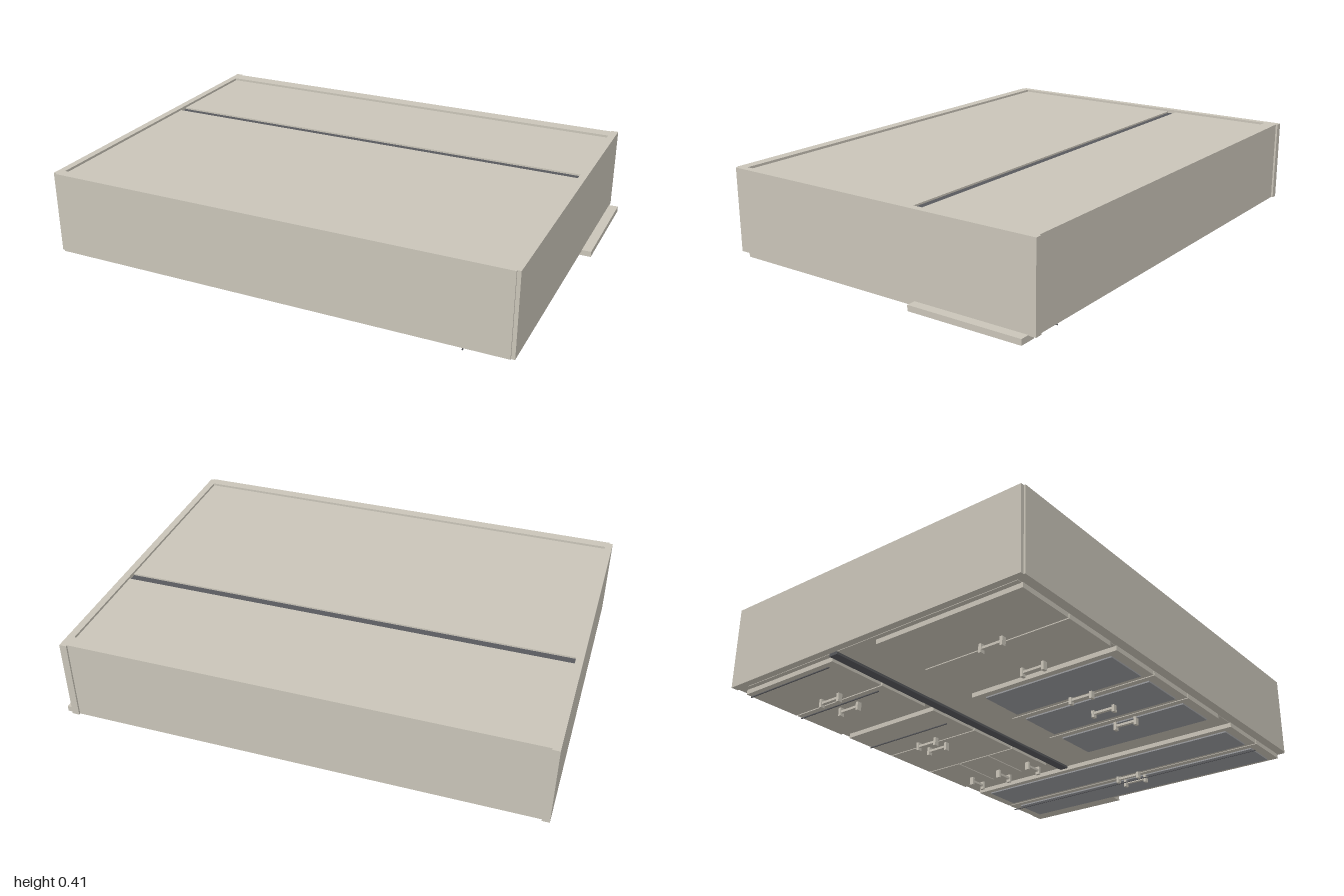
import * as THREE from 'three';

export function createModel() {
  const model = new THREE.Group();
  const mat = (name, color) => Object.assign(new THREE.MeshStandardMaterial({ color }), { name });
  const beige = mat('beigeBoard', 0xc9c4b8);
  const dark = mat('darkGap', 0x58595d);
  const grey = mat('greyPanel', 0x9b9c9f);

  // Box given by its lower and upper limits on each axis
  const box = (name, m, x0, x1, y0, y1, z0, z1, parent = model) => {
    const mesh = new THREE.Mesh(new THREE.BoxGeometry(x1 - x0, y1 - y0, z1 - z0), m);
    mesh.position.set((x0 + x1) / 2, (y0 + y1) / 2, (z0 + z1) / 2);
    mesh.name = name;
    parent.add(mesh);
    return mesh;
  };

  // Carcass: side boards stand slightly proud of the end boards
  box('sideBoardRight', beige, -1, -0.97, 0.057, 0.405, -0.725, 0.715);
  box('sideBoardLeft', beige, 0.93, 0.96, 0.057, 0.405, -0.725, 0.715);
  box('frontBoard', beige, -0.985, 0.945, 0.057, 0.405, 0.68, 0.722);
  box('backBoard', beige, -0.97, 0.93, 0.057, 0.405, -0.717, -0.66);

  // Recessed panels with the dark channel between them
  box('smallPanel', beige, -0.97, 0.93, 0.055, 0.395, -0.66, -0.2);
  box('largePanel', beige, -0.97, 0.93, 0.055, 0.395, -0.16, 0.68);
  box('darkChannel', dark, -0.97, 0.93, 0.045, 0.388, -0.2, -0.16);

  // Lip along the left edge
  box('sideLip', beige, 0.93, 1, 0.036, 0.06, -0.695, -0.2);

  // Doors and drawers: x0, x1, z0, z1, has a grey inset plate
  const fronts = [
    [0.734, 0.95, -0.69, 0.685, true],
    [0.495, 0.728, -0.69, 0.685, true],
    [0.133, 0.385, 0, 0.685, true],
    [-0.127, 0.127, 0, 0.685, true],
    [-0.39, -0.133, 0, 0.685, true],
    [-0.687, -0.43, 0.02, 0.685, false],
    [-0.95, -0.693, 0.02, 0.685, false],
    [0.133, 0.385, -0.34, -0.205, false],
    [0.133, 0.385, -0.51, -0.346, false],
    [0.133, 0.385, -0.69, -0.516, false],
    [-0.127, 0.127, -0.69, -0.205, false],
    [-0.39, -0.133, -0.69, -0.205, false],
    [-0.687, -0.44, -0.69, -0.205, false],
    [-0.95, -0.693, -0.69, -0.205, false],
  ];
  const doors = new THREE.Group();
  doors.name = 'doors';
  model.add(doors);
  for (const [x0, x1, z0, z1, inset] of fronts) {
    box('door', beige, x0, x1, 0.036, 0.056, z0, z1, doors);
    if (inset) box('insetPlate', grey, x0 + 0.027, x1 - 0.027, 0.03, 0.0365, z0 + 0.05, z1 - 0.04, doors);
  }

  // Bar handles on two feet, running along z or along x
  const handle = (x, z, length, alongX) => {
    const g = new THREE.Group();
    g.name = 'handle';
    const h = length / 2;
    box('grip', beige, -0.007, 0.007, 0.013, 0.023, -h, h, g);
    for (const s of [-1, 1]) {
      box('foot', beige, -0.01, 0.01, 0, 0.037, s * (h - 0.006) - 0.006, s * (h - 0.006) + 0.006, g);
    }
    g.position.set(x, 0, z);
    if (alongX) g.rotation.y = Math.PI / 2;
    model.add(g);
  };
  for (const x of [0.705, 0.77]) handle(x, 0.04, 0.12);
  for (const x of [0.165, 0, -0.16, -0.475, -0.72]) handle(x, 0.37, 0.11);
  for (const x of [-0.095, -0.165, -0.63, -0.735]) handle(x, -0.44, 0.11);
  for (const z of [-0.25, -0.42, -0.58]) handle(0.345, z, 0.09, true);

  // Thin rods in front of the doors
  const rod = (x, z0, z1) => box('thinRod', dark, x - 0.002, x + 0.002, 0.013, 0.017, z0, z1);
  rod(0.75, -0.67, 0.67);
  for (const x of [-0.29, -0.69, -0.95]) rod(x, -0.66, -0.22);

  return model;
}
